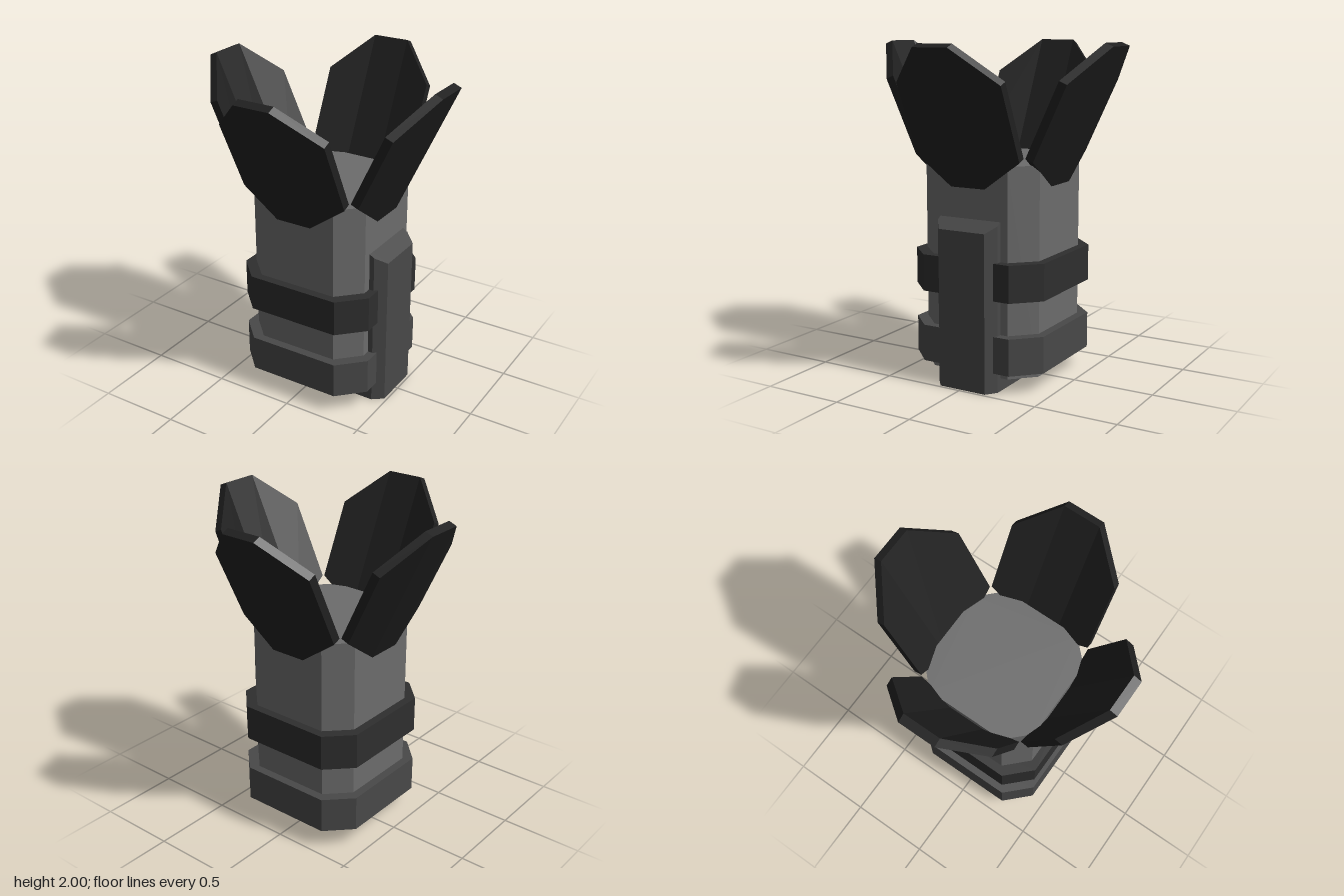
import * as THREE from 'three';

const material = (color) => new THREE.MeshStandardMaterial({ color, flatShading: true });

function addMesh(parent, name, geometry, color) {
  const mesh = new THREE.Mesh(geometry, material(color));
  mesh.name = name;
  parent.add(mesh);
  return mesh;
}

// Upright prism with a corner-cut rectangular plan, from y0 to y1
function prism(x0, x1, z0, z1, cx, cz, y0, y1) {
  const shape = new THREE.Shape([
    [x0 + cx, -z1], [x1 - cx, -z1], [x1, -z1 + cz], [x1, -z0 - cz],
    [x1 - cx, -z0], [x0 + cx, -z0], [x0, -z0 - cz], [x0, -z1 + cz],
  ].map(([x, y]) => new THREE.Vector2(x, y)));
  const geometry = new THREE.ExtrudeGeometry(shape, { depth: y1 - y0, bevelEnabled: false });
  return geometry.rotateX(-Math.PI / 2).translate(0, y0, 0);
}

// Thick octagonal plate, leaning outwards, its two side strips folded inwards
function flapGeometry() {
  const half = [[0.112, 1.18, 0.392], [0.338, 1.345, 0.393], [0.338, 1.78, 0.597], [0.112, 1.98, 0.763]];
  const mirrored = half.map(([x, y, z]) => [-x, y, z]).reverse();
  const outer = [...half, ...mirrored];
  const inner = outer.map(([x, y, z]) => [x, y + 0.02, z - 0.048]);
  const points = [...outer, ...inner];
  const quads = [];
  for (const [a, b, c, d] of [[7, 0, 3, 4], [0, 1, 2, 3], [6, 7, 4, 5]]) {
    quads.push([a, b, c, d], [d + 8, c + 8, b + 8, a + 8]);
  }
  for (let i = 0; i < 8; i++) {
    const j = (i + 1) % 8;
    quads.push([i, i + 8, j + 8, j]);
  }
  const positions = [];
  for (const [a, b, c, d] of quads) {
    for (const k of [a, b, c, a, c, d]) positions.push(...points[k]);
  }
  const geometry = new THREE.BufferGeometry();
  geometry.setAttribute('position', new THREE.Float32BufferAttribute(positions, 3));
  geometry.computeVertexNormals();
  return geometry;
}

export function createModel() {
  const model = new THREE.Group();
  model.name = 'strappedCanister';

  // Main body
  addMesh(model, 'body', prism(-0.38, 0.388, -0.393, 0.375, 0.133, 0.133, 0.08, 1.32), 0x6c6c6c);

  // Straps around the body
  addMesh(model, 'lowerStrap', prism(-0.432, 0.44, -0.445, 0.427, 0.147, 0.147, 0.12, 0.34), 0x484848);
  addMesh(model, 'upperStrap', prism(-0.432, 0.44, -0.445, 0.427, 0.147, 0.147, 0.55, 0.77), 0x2e2e2e);

  // Side post with a sloping top
  const post = prism(0.07, 0.483, -0.213, 0.19, 0.065, 0.05, 0, 1);
  const p = post.attributes.position;
  for (let i = 0; i < p.count; i++) {
    if (p.getY(i) > 0.5) p.setY(i, 1 - (p.getX(i) - 0.39) * 0.6);
  }
  post.computeVertexNormals();
  addMesh(model, 'sidePost', post, 0x484848);

  // Four flaps around the rim
  const flap = flapGeometry();
  ['frontFlap', 'leftFlap', 'backFlap', 'rightFlap'].forEach((name, i) => {
    addMesh(model, name, flap, 0x202020).rotation.y = i * Math.PI / 2;
  });

  return model;
}
